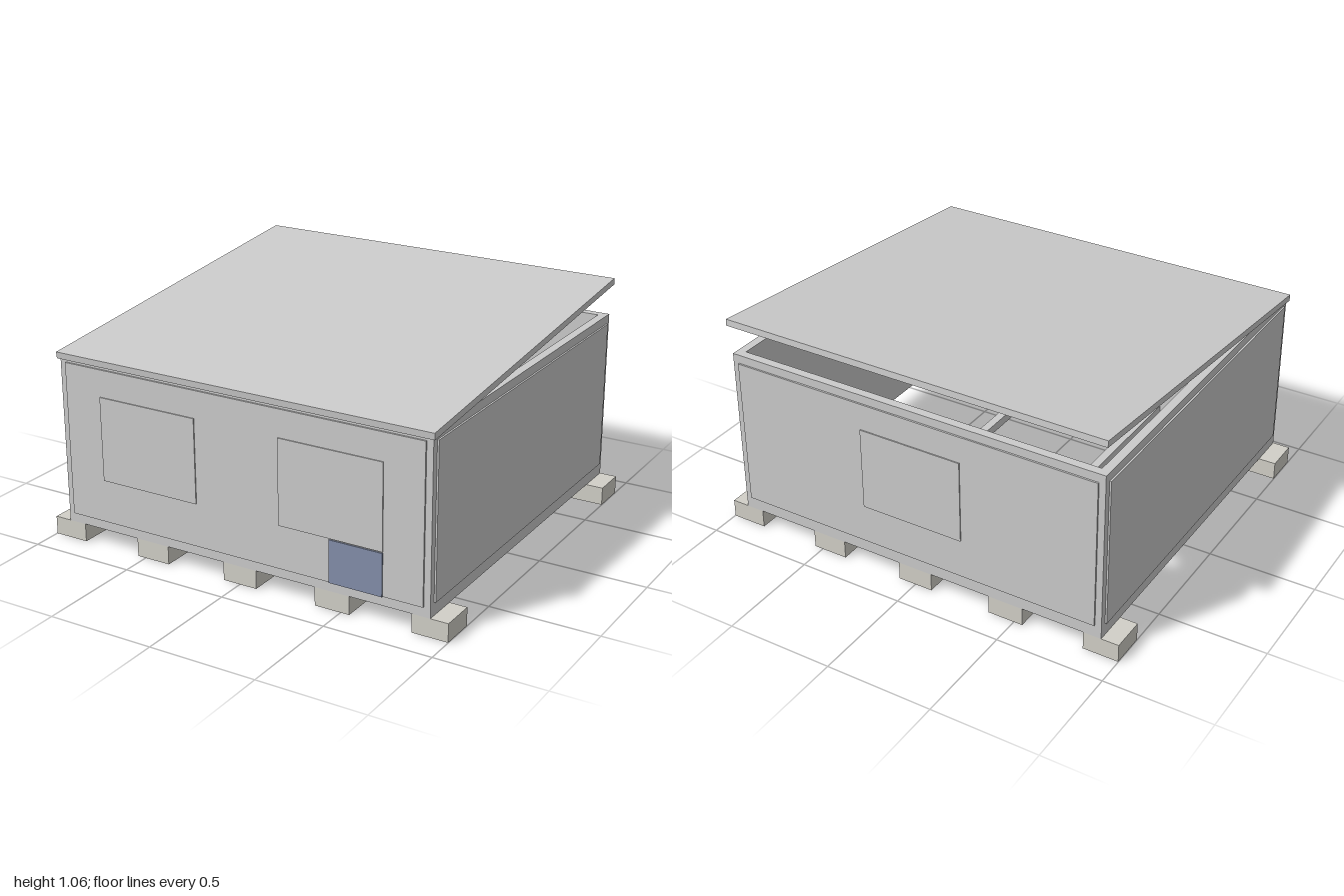
import * as THREE from 'three';

const grey = new THREE.MeshStandardMaterial({ color: 0xcccccc });
const stone = new THREE.MeshStandardMaterial({ color: 0xd2d0c8 });
const blue = new THREE.MeshStandardMaterial({ color: 0x848fab });

// Box given by its lower and upper bounds on each axis
function box(parent, name, [x0, x1], [y0, y1], [z0, z1], material = grey) {
  const mesh = new THREE.Mesh(new THREE.BoxGeometry(x1 - x0, y1 - y0, z1 - z0), material);
  mesh.position.set((x0 + x1) / 2, (y0 + y1) / 2, (z0 + z1) / 2);
  mesh.name = name;
  parent.add(mesh);
  return mesh;
}

// Range that is mirrored to the negative side when s is -1
const side = (s, a, b) => (s > 0 ? [a, b] : [-b, -a]);

export function createModel() {
  const model = new THREE.Group();
  model.name = 'shed';
  const X = 0.917, Z = 0.863, T = 0.04;
  const sillY = [0.085, 0.127], wallY = [0.127, 0.885], panelY = [0.145, 0.845];

  // Two rows of footing blocks
  const footings = new THREE.Group();
  footings.name = 'footings';
  model.add(footings);
  for (const s of [1, -1]) {
    for (let i = -2; i <= 2; i++) {
      const x = i * 0.458;
      box(footings, 'footing', [x - 0.083, x + 0.083], [0, 0.085], side(s, 0.698, 0.863), stone);
    }
  }

  // Sills, walls and cladding panels on all four sides
  for (const s of [1, -1]) {
    const end = s > 0 ? 'front' : 'back', flank = s > 0 ? 'left' : 'right';
    box(model, end + 'Sill', [-X, X], sillY, side(s, Z - T, Z));
    box(model, flank + 'Sill', side(s, X - T, X), sillY, [-Z + T, Z - T]);
    box(model, end + 'Wall', [-X, X], wallY, side(s, Z - T, Z));
    box(model, flank + 'Wall', side(s, X - T, X), wallY, [-Z + T, Z - T]);
    box(model, end + 'Panel', [-0.887, 0.887], s > 0 ? [0.13, 0.845] : panelY, side(s, Z, 0.871));
    box(model, flank + 'Panel', side(s, X, 0.925), panelY, [-0.833, 0.833]);
    // Floor joists across the open bottom
    box(model, 'joist', [s * 0.305 - 0.02, s * 0.305 + 0.02], sillY, [-Z + T, Z - T]);
  }

  // Shallow raised windows and the small entrance flap
  for (const x of [-0.455, 0.455]) {
    box(model, 'frontWindow', [x - 0.247, x + 0.247], [0.33, 0.72], [0.871, 0.876]);
  }
  box(model, 'backWindow', [-0.247, 0.247], [0.33, 0.72], [-0.876, -0.871]);
  box(model, 'entranceFlap', [0.452, 0.702], [0.13, 0.325], [0.871, 0.877], blue);

  // Sloping roof slab, raised at the back
  const roof = box(model, 'roof', [-0.928, 0.928], [0.942, 0.972], [-0.88, 0.88]);
  roof.rotation.x = 0.0955;

  return model;
}
